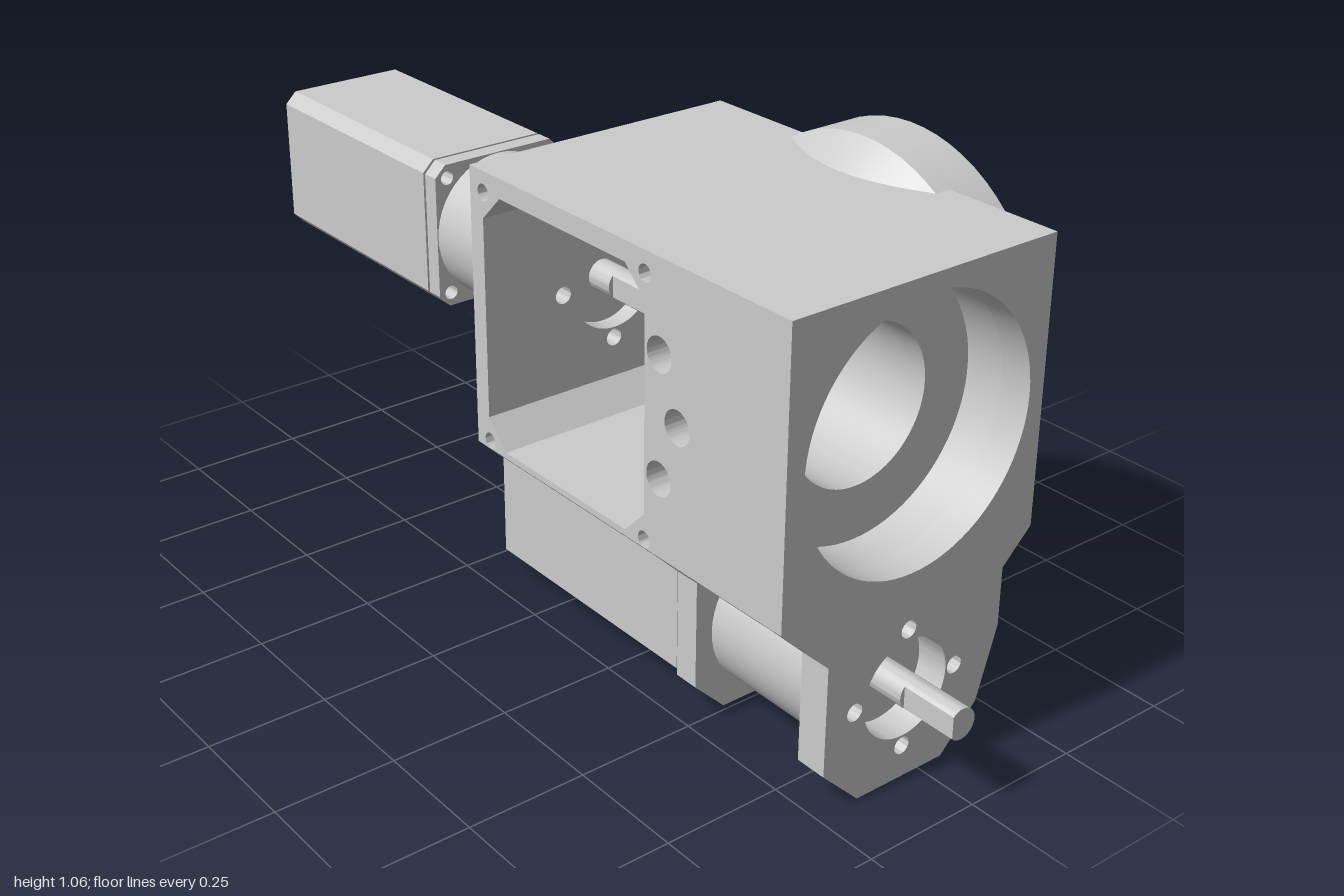
import * as THREE from 'three';
import { toCreasedNormals } from 'three/addons/utils/BufferGeometryUtils.js';

const AXIS_Y = 0.7, AXIS_Z = 0.045, LOW_Y = 0.193, DISC_X = 0.41;
const material = new THREE.MeshStandardMaterial({ color: 0xcccccc });
const openMaterial = new THREE.MeshStandardMaterial({ color: 0xcccccc, side: THREE.DoubleSide });

const rect = (a0, b0, a1, b1) => [[a0, b0], [a1, b0], [a1, b1], [a0, b1]];
const octagon = (a0, b0, a1, b1, c) => [
  [a0 + c, b0], [a1 - c, b0], [a1, b0 + c], [a1, b1 - c],
  [a1 - c, b1], [a0 + c, b1], [a0, b1 - c], [a0, b0 + c]];

// n round holes of radius r on a circle of radius ring
const holeRing = (cx, cy, ring, r, n, start = 0) => Array.from({ length: n }, (_, i) => {
  const t = start + (i / n) * Math.PI * 2;
  return [cx + ring * Math.cos(t), cy + ring * Math.sin(t), r];
});

function makeShape(points, holes, sign) {
  const shape = new THREE.Shape(points.map(([a, b]) => new THREE.Vector2(sign * a, b)));
  for (const h of holes) {
    // a hole is either [centre, centre, radius] or a list of corners
    if (typeof h[0] === 'number') {
      shape.holes.push(new THREE.Path().absarc(sign * h[0], h[1], h[2], 0, Math.PI * 2));
    } else {
      shape.holes.push(new THREE.Path(h.map(([a, b]) => new THREE.Vector2(sign * a, b))));
    }
  }
  return shape;
}

const extrude = (shape, depth) => toCreasedNormals(
  new THREE.ExtrudeGeometry(shape, { depth, bevelEnabled: false, curveSegments: 40 }), 0.5);

function addMesh(group, name, geometry, mat = material) {
  const mesh = new THREE.Mesh(geometry, mat);
  mesh.name = name;
  group.add(mesh);
  return mesh;
}

// outline in (x, y), running from z0 to z1
const alongZ = (group, name, points, holes, z0, z1) =>
  addMesh(group, name, extrude(makeShape(points, holes, 1), z1 - z0).translate(0, 0, z0));

// outline in (z, y), running from x0 to x1
const alongX = (group, name, points, holes, x0, x1) =>
  addMesh(group, name, extrude(makeShape(points, holes, -1), x1 - x0)
    .rotateY(Math.PI / 2).translate(x0, 0, 0));

const circle = (cz, cy, r, n = 48) => Array.from({ length: n }, (_, i) => {
  const t = (i / n) * Math.PI * 2;
  return [cz + r * Math.cos(t), cy + r * Math.sin(t)];
});

// shaft with one flat facing the front
function addShaft(group, y, x0, xFlat, x1) {
  const r = 0.032;
  const round = circle(AXIS_Z, y, r, 32);
  const flat = round.map(([z, v]) => [Math.min(z, AXIS_Z + 0.022), v]);
  alongX(group, 'shaftBase', round, [], x0, xFlat);
  alongX(group, 'shaftFlat', flat, [], xFlat, x1);
}

// square motor with chamfered edges, screw holes at both ends and a round gearbox
function addMotor(name, y, x0, x1, barrelEnd) {
  const g = new THREE.Group();
  g.name = name;
  const h = 0.157, s = 0.128;
  const square = (k) => octagon(AXIS_Z - k, y - k, AXIS_Z + k, y + k, 0.025);
  const screws = holeRing(AXIS_Z, y, s * Math.SQRT2, 0.015, 4, Math.PI / 4);
  alongX(g, 'motorEndCap', square(h), screws, x0, x0 + 0.03);
  alongX(g, 'motorBody', square(h), [], x0 + 0.03, x1 - 0.045);
  alongX(g, 'motorSeam', square(h - 0.006), [], x1 - 0.045, x1 - 0.038);
  alongX(g, 'motorFlange', square(h), screws, x1 - 0.038, x1);
  alongX(g, 'gearbox', circle(AXIS_Z, y, 0.155), [], x1 - 0.01, barrelEnd);
  return g;
}

function makeHousing() {
  const g = new THREE.Group();
  g.name = 'housing';
  const F = 0.351, B = -0.257, L = -0.035, T = 1, K = 0.423;
  const boltHoles = holeRing(DISC_X, AXIS_Y, 0.17, 0.034, 8);
  const flangeHoles = (y) => [[AXIS_Z, y, 0.102], ...holeRing(AXIS_Z, y, 0.124, 0.018, 4)];

  // front wall with the access window, cover screws and bolt access holes
  const coverScrews = [];
  for (const x of [0.007, 0.49]) for (const y of [0.44, 0.957]) coverScrews.push([x, y, 0.017]);
  const window_ = octagon(0.005, 0.436, 0.49, 0.96, 0.055);
  alongZ(g, 'frontWall', rect(L, K, 0.71, T),
    [window_, ...coverScrews, ...boltHoles.filter(([x]) => x > 0.5)], 0.21, F);

  // back wall behind the turntable
  alongZ(g, 'backWall', rect(L, K, 0.71, T), [[DISC_X, AXIS_Y, 0.05], ...boltHoles], B, -0.12);

  // chamber between the two walls
  alongX(g, 'motorWall', rect(-0.12, K, 0.21, T), flangeHoles(AXIS_Y), L, 0.005);
  alongX(g, 'bearingBlock', rect(-0.12, K, 0.21, T), [[AXIS_Z, AXIS_Y, 0.158]], 0.49, 0.71);
  alongZ(g, 'chamberRoof', [[0.005, T], [0.49, T], [0.49, 0.905], [0.435, 0.96],
    [0.06, 0.96], [0.005, 0.905]], [], -0.12, 0.21);
  alongZ(g, 'chamberFloor', [[0.005, K], [0.49, K], [0.49, 0.491], [0.435, 0.436],
    [0.06, 0.436], [0.005, 0.491]], [], -0.12, 0.21);

  // chamfered underside
  alongX(g, 'underside', [[F, K], [F - 0.023, 0.4], [B + 0.023, 0.4], [B, K]], [], L, 0.793);

  // large bore on the side
  alongX(g, 'boreWall', rect(B, K, F, T), [[AXIS_Z, AXIS_Y, 0.267]], 0.71, 0.793);

  // end plate that also carries the lower gearbox
  alongX(g, 'endPlate', [[F, T], [B, T], [B, K], [-0.19, 0.358], [-0.19, 0.235],
    [-0.145, 0.087], [-0.06, 0], [0.152, 0], [0.238, 0.085], [0.238, 0.313], [F, K]],
  [[AXIS_Z, AXIS_Y, 0.267], ...flangeHoles(LOW_Y)], 0.793, 0.86);

  // bracket holding the lower motor
  alongX(g, 'motorBracket', [[0.328, 0.401], [-0.234, 0.401], [-0.19, 0.358], [-0.19, 0.235],
    [-0.145, 0.087], [-0.075, 0.015], [0.167, 0.015], [0.238, 0.085], [0.238, 0.313]],
  [], 0.45, 0.505);
  return g;
}

function makeTurntable() {
  const g = new THREE.Group();
  g.name = 'turntable';
  const R = 0.357;
  const outline = circle(DISC_X, AXIS_Y, R, 64);
  alongZ(g, 'rim', outline, [[DISC_X, AXIS_Y, 0.222]], -0.346, -0.276);
  alongZ(g, 'face', outline, [[DISC_X, AXIS_Y, 0.05],
    ...holeRing(DISC_X, AXIS_Y, 0.17, 0.018, 8)], -0.276, -0.222);
  // conical shoulder, exposed above and below the housing
  for (const side of [0, Math.PI]) {
    const cone = new THREE.LatheGeometry(
      [new THREE.Vector2(R, 0), new THREE.Vector2(R - 0.057, 0.057)],
      16, side - Math.PI / 4, Math.PI / 2);
    cone.rotateX(Math.PI / 2);
    const mesh = addMesh(g, 'shoulder', cone, openMaterial);
    mesh.position.set(DISC_X, AXIS_Y, -0.222);
  }
  return g;
}

export function createModel() {
  const model = new THREE.Group();
  model.name = 'twinMotorGearUnit';
  const upper = addMotor('upperMotor', AXIS_Y, -1, -0.39, -0.035);
  addShaft(upper, AXIS_Y, -0.035, 0.03, 0.165);
  const lower = addMotor('lowerMotor', LOW_Y, -0.17, 0.45, 0.793);
  addShaft(lower, LOW_Y, 0.793, 0.88, 1);
  model.add(makeHousing(), makeTurntable(), upper, lower);
  return model;
}
